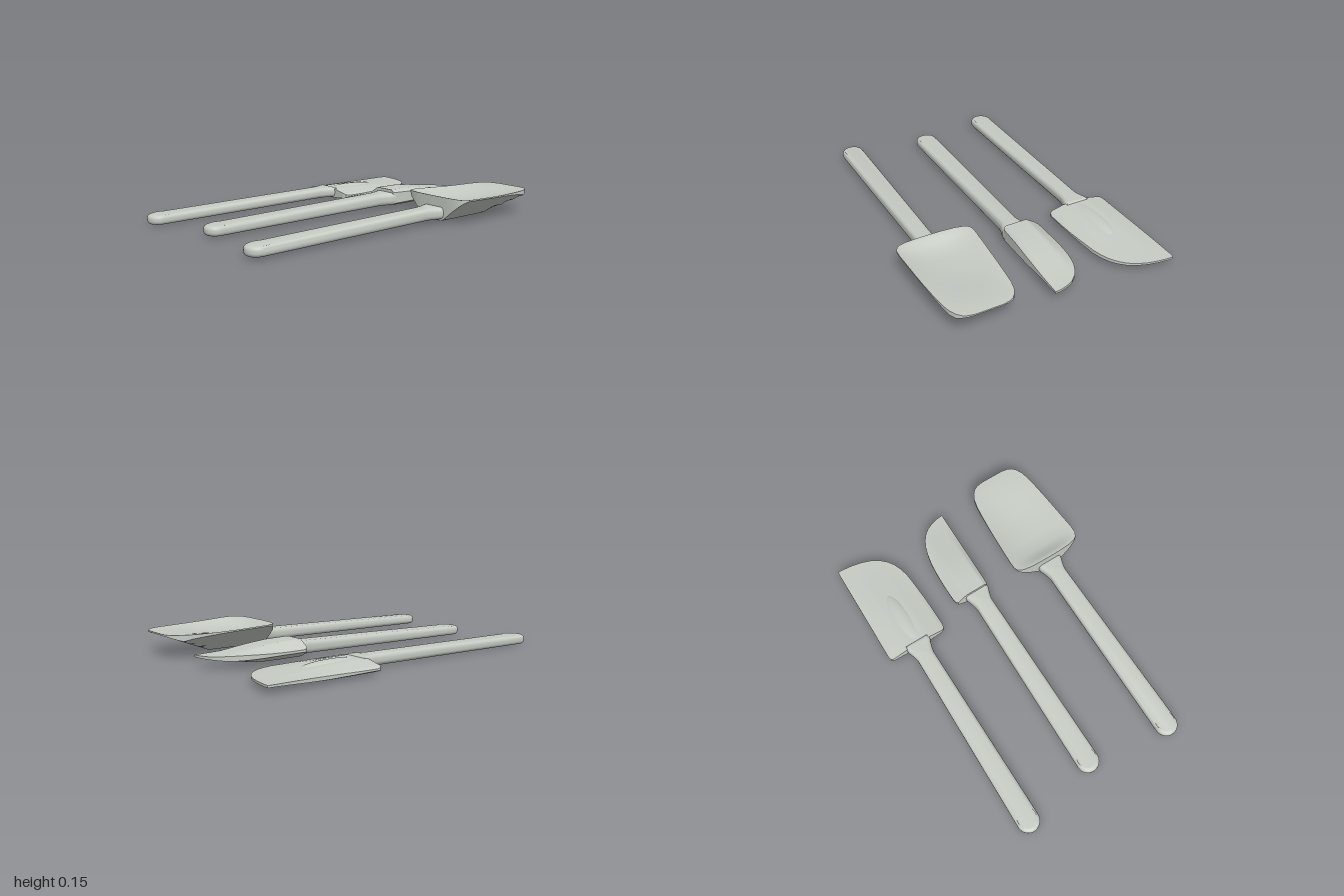
import * as THREE from 'three';
import { toCreasedNormals } from 'three/addons/utils/BufferGeometryUtils.js';

const plastic = new THREE.MeshStandardMaterial({ color: 0xc6ccc4 });
plastic.name = 'pale grey silicone';

const { lerp, smoothstep } = THREE.MathUtils;

// piecewise linear curve through [t, value] pairs, t increasing
function track(pts, t) {
  if (t <= pts[0][0]) return pts[0][1];
  for (let i = 1; i < pts.length; i++) {
    const [t0, v0] = pts[i - 1], [t1, v1] = pts[i];
    if (t <= t1) return lerp(v0, v1, (t - t0) / (t1 - t0));
  }
  return pts[pts.length - 1][1];
}

function part(name, geometry) {
  const mesh = new THREE.Mesh(geometry, plastic);
  mesh.name = name;
  return mesh;
}

// rounded bar with hanging hole and flared neck, leaning up towards the blade
function handle({ front, back, xFront, xBack, y, topBack }) {
  const r = 0.067, c = front - r, n = 0.055, f = 0.078;
  const s = new THREE.Shape();
  s.moveTo(-f, -back);
  s.lineTo(-f, -back - 0.035);
  s.quadraticCurveTo(-n - 0.004, -back - 0.08, -n, -back - 0.12);
  s.lineTo(-r, -c);
  s.absarc(0, -c, r, Math.PI, Math.PI * 2, false);
  s.lineTo(n, -back - 0.12);
  s.quadraticCurveTo(n + 0.004, -back - 0.08, f, -back - 0.035);
  s.lineTo(f, -back);
  const hole = new THREE.Path();
  hole.absarc(0, -(front - 0.085), 0.034, 0, Math.PI * 2, true);
  s.holes.push(hole);
  const g = new THREE.ExtrudeGeometry(s, {
    depth: 0.015, bevelThickness: 0.02, bevelSize: 0.022, bevelOffset: -0.022,
    bevelSegments: 4, curveSegments: 20,
  });
  g.translate(0, 0, 0.02).rotateX(-Math.PI / 2);
  const p = g.attributes.position;
  for (let i = 0; i < p.count; i++) {
    const t = (front - p.getZ(i)) / (front - back);
    const h = p.getY(i) / 0.055;
    p.setX(i, p.getX(i) + lerp(xFront, xBack, t));
    p.setY(i, lerp(y + h * 0.055, lerp(y + 0.013, topBack, h), t));
  }
  return part('handle', toCreasedNormals(g, 0.7));
}

// closed blade lofted from rows [z, xLeft, xRight] with top and bottom heights
function blade(rows, top, bottom) {
  const n = 28, ring = 2 * (n + 1), pos = [], idx = [];
  for (const [z, x0, x1] of rows) {
    for (let k = 0; k < ring; k++) {
      const x = lerp(x0, x1, (k <= n ? k : ring - 1 - k) / n);
      pos.push(x, k <= n ? top(x, z) : bottom(x, z), z);
    }
  }
  for (let i = 0; i < rows.length - 1; i++) {
    for (let k = 0; k < ring; k++) {
      const a = i * ring + k, b = i * ring + (k + 1) % ring;
      idx.push(a, b, b + ring, a, b + ring, a + ring);
    }
  }
  // end caps
  const e = (rows.length - 1) * ring;
  for (let j = 0; j < n; j++) {
    const t0 = j, t1 = j + 1, b0 = ring - 1 - j, b1 = ring - 2 - j;
    idx.push(b0, b1, t1, b0, t1, t0);
    idx.push(e + b0, e + t1, e + b1, e + b0, e + t0, e + t1);
  }
  const g = new THREE.BufferGeometry();
  g.setAttribute('position', new THREE.Float32BufferAttribute(pos, 3));
  g.setIndex(idx);
  return part('blade', toCreasedNormals(g, 0.6));
}

function flatSpatula() {
  const g = new THREE.Group();
  g.name = 'flatSpatula';
  const rows = [
    [-0.305, -0.675, -0.335], [-0.315, -0.69, -0.318], [-0.34, -0.695, -0.31],
    [-0.45, -0.693, -0.31], [-0.55, -0.69, -0.312], [-0.65, -0.688, -0.318],
    [-0.74, -0.686, -0.325], [-0.8, -0.685, -0.338], [-0.85, -0.684, -0.358],
    [-0.89, -0.683, -0.385], [-0.925, -0.682, -0.42], [-0.955, -0.682, -0.47],
    [-0.975, -0.681, -0.525], [-0.988, -0.68, -0.585], [-0.995, -0.675, -0.65],
  ];
  const up = [[-0.695, 0.038], [-0.68, 0.048], [-0.57, 0.071], [-0.43, 0.071], [-0.325, 0.05], [-0.31, 0.04]];
  const low = [[-0.695, 0.028], [-0.68, 0.02], [-0.57, 0.01], [-0.43, 0.01], [-0.325, 0.022], [-0.31, 0.032]];
  g.add(blade(rows,
    (x, z) => lerp(track(up, x), 0.046, smoothstep(-z, 0.4, 1)),
    (x, z) => lerp(track(low, x), 0.034, smoothstep(-z, 0.6, 1))));
  // raised core at the root of the blade
  const core = new THREE.SphereGeometry(1, 28, 16).scale(0.06, 0.032, 0.22);
  core.translate(-0.5, 0.046, -0.48);
  g.add(part('bladeCore', core));
  g.add(handle({ front: 1, back: -0.33, xFront: -0.523, xBack: -0.502, y: 0.003, topBack: 0.08 }));
  return g;
}

function narrowSpatula() {
  const g = new THREE.Group();
  g.name = 'narrowSpatula';
  const rows = [
    [-0.395, -0.16, 0.045], [-0.405, -0.17, 0.05], [-0.43, -0.175, 0.052],
    [-0.55, -0.175, 0.056], [-0.65, -0.17, 0.06], [-0.72, -0.162, 0.062],
    [-0.78, -0.15, 0.064], [-0.83, -0.135, 0.066], [-0.87, -0.115, 0.067],
    [-0.905, -0.09, 0.068], [-0.935, -0.055, 0.069], [-0.955, -0.015, 0.07],
    [-0.967, 0.03, 0.07], [-0.97, 0.05, 0.07],
  ];
  const up = [[-0.175, 0.07], [-0.1, 0.118], [0.03, 0.118], [0.055, 0.1], [0.07, 0.085]];
  const low = [[-0.175, 0.056], [-0.1, 0.018], [0.025, 0.018], [0.055, 0.035], [0.07, 0.05]];
  g.add(blade(rows,
    (x, z) => lerp(track(up, x), 0.072, smoothstep(-z, 0.5, 1)),
    (x, z) => lerp(track(low, x), 0.06, smoothstep(-z, 0.6, 1))));
  g.add(handle({ front: 0.905, back: -0.42, xFront: -0.05, xBack: -0.026, y: 0.01, topBack: 0.1 }));
  return g;
}

function scoopSpatula() {
  const g = new THREE.Group();
  g.name = 'scoopSpatula';
  const rows = [
    [-0.32, 0.40, 0.53], [-0.325, 0.32, 0.61], [-0.335, 0.27, 0.655], [-0.35, 0.245, 0.675],
    [-0.375, 0.235, 0.688], [-0.42, 0.235, 0.69], [-0.5, 0.24, 0.686],
    [-0.6, 0.247, 0.681], [-0.7, 0.255, 0.675], [-0.8, 0.265, 0.667],
    [-0.87, 0.274, 0.659], [-0.92, 0.287, 0.648], [-0.955, 0.305, 0.632],
    [-0.98, 0.328, 0.61], [-0.993, 0.355, 0.585], [-1, 0.395, 0.545],
  ];
  const low = [[0.235, 0.148], [0.4, 0.016], [0.53, 0.016], [0.69, 0.15]];
  // shallow dish inside the rim
  const top = (x, z) => {
    const rim = lerp(0.157, 0.142, (-z - 0.32) / 0.68);
    const across = Math.max(0, 1 - ((x - 0.462) / 0.228) ** 2);
    return rim - 0.042 * across * smoothstep(-z, 0.32, 0.42) * (1 - smoothstep(-z, 0.55, 1));
  };
  g.add(blade(rows, top, (x, z) => Math.min(top(x, z) - 0.008,
    Math.max(track(low, x), lerp(0.016, 0.134, Math.max(0, (-z - 0.7) / 0.3))))));
  g.add(handle({ front: 0.978, back: -0.34, xFront: 0.457, xBack: 0.465, y: 0.014, topBack: 0.098 }));
  return g;
}

export function createModel() {
  const model = new THREE.Group();
  model.name = 'spatulaSet';
  model.add(flatSpatula(), narrowSpatula(), scoopSpatula());
  return model;
}
